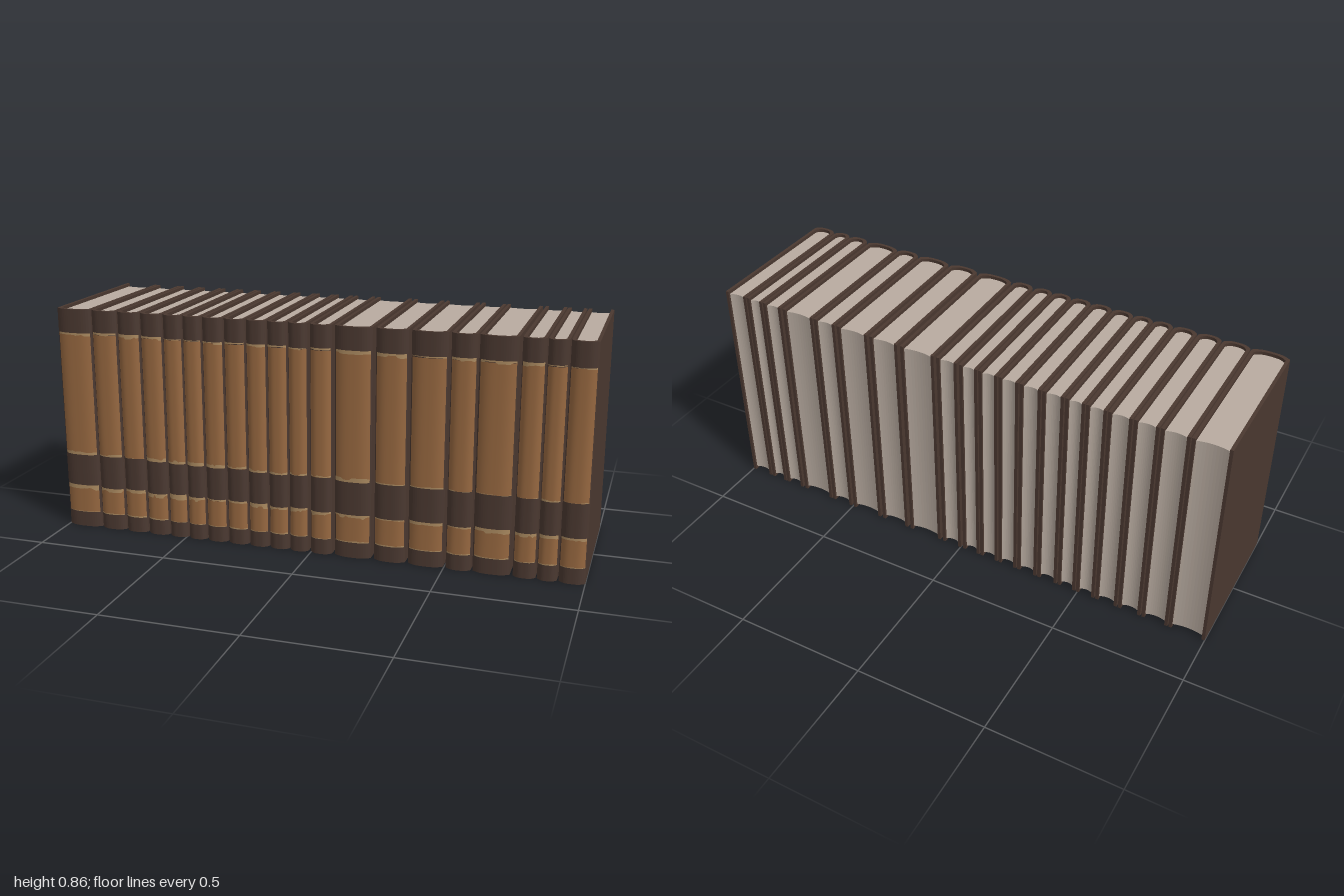
import * as THREE from 'three';

const H = 0.86, BACK = -0.295, FRONT = 0.295, BOW = 0.018, T = 0.012, LIP = 0.012;

// Left and right side of each book along the row
const BOOKS = [
  [-1, -0.862], [-0.858, -0.757], [-0.752, -0.664], [-0.659, -0.573], [-0.568, -0.494],
  [-0.49, -0.418], [-0.413, -0.333], [-0.328, -0.248], [-0.243, -0.167], [-0.162, -0.088],
  [-0.083, -0.012], [-0.002, 0.079], [0.09, 0.227], [0.24, 0.356], [0.367, 0.496],
  [0.506, 0.597], [0.603, 0.736], [0.747, 0.827], [0.832, 0.902], [0.907, 1],
];

const mat = (name, color, side = THREE.FrontSide) => {
  const m = new THREE.MeshStandardMaterial({ color, side });
  m.name = name;
  return m;
};

// Depth of the bowed spine at t = -1 .. 1 across the book
const spineZ = (t) => FRONT - BOW * Math.abs(t) ** 3;

// Extrudes an outline drawn in x and z upwards from y0 to y1
function prism(points, y0, y1) {
  const g = new THREE.ExtrudeGeometry(new THREE.Shape(points.map(([x, z]) => new THREE.Vector2(x, z))),
    { depth: y1 - y0, bevelEnabled: false });
  return g.rotateX(Math.PI / 2).translate(0, y1, 0);
}

// Points over t = -1 .. 1
const sweep = (n, fn) => Array.from({ length: n + 1 }, (_, i) => fn(-1 + (2 * i) / n));

// Thin curved plate lying on the spine; low(i) and high(i) give its edges by column
function spinePlate(half, lift, low, high) {
  const n = 12;
  const g = new THREE.PlaneGeometry(2, 1, n, 1);
  const p = g.attributes.position;
  for (let i = 0; i < p.count; i++) {
    const t = p.getX(i) * 0.93;
    const col = i % (n + 1);
    p.setXYZ(i, t * half, p.getY(i) > 0 ? high(col) : low(col), spineZ(t) + lift);
  }
  g.computeVertexNormals();
  return g;
}

export function createModel() {
  const cover = mat('dark leather', 0x4a3830);
  const leather = mat('tan leather', 0x976840, THREE.DoubleSide);
  const worn = mat('worn edge', 0xab8a60, THREE.DoubleSide);
  const paper = mat('paper', 0xb8aba0);

  let seed = 7;
  const rand = () => (seed = (seed * 16807) % 2147483647) / 2147483647;

  const root = new THREE.Group();
  root.name = 'bookRow';

  BOOKS.forEach(([x0, x1], k) => {
    const book = new THREE.Group();
    book.name = `book${k + 1}`;
    book.position.x = (x0 + x1) / 2;
    const half = (x1 - x0) / 2, inner = half - T;
    const add = (name, geometry, material) => {
      const m = new THREE.Mesh(geometry, material);
      m.name = name;
      book.add(m);
    };

    // Two boards joined by the bowed spine
    add('cover', prism([
      [-half, BACK],
      ...sweep(16, (t) => [t * half, spineZ(t)]),
      [half, BACK], [inner, BACK],
      ...sweep(16, (t) => [-t * inner, spineZ(t) - T]),
      [-inner, BACK],
    ], 0, H), cover);

    // Page block with a hollow fore edge
    add('pages', prism([
      ...sweep(10, (t) => [t * inner, BACK + 0.016 - 0.008 * t * t]),
      ...sweep(10, (t) => [-t * inner, spineZ(t) - T]),
    ], LIP, H - LIP), paper);

    // Tan panels on the spine
    add('lowerPanel', spinePlate(half, 0.001, () => 0.06, () => 0.163), leather);
    add('upperPanel', spinePlate(half, 0.001, () => 0.297, () => 0.768), leather);

    // Ragged worn edges of the panels: height and greatest width, up or down
    [[0.06, 0.008], [0.168, -0.022], [0.295, 0.014], [0.774, -0.018]].forEach(([y, size], j) => {
      const amount = 0.35 + 0.65 * rand();
      let step = rand();
      const ragged = Array.from({ length: 13 }, () => {
        if (rand() < 0.4) step = rand();
        return y + size * amount * (0.3 + 0.7 * step);
      });
      const shift = (rand() - 0.5) * 0.008;
      const outer = () => y + (j ? shift : 0);
      const edge = (i) => ragged[i];
      add('wornEdge', size > 0
        ? spinePlate(half, 0.002, outer, edge)
        : spinePlate(half, 0.002, edge, outer), worn);
    });

    root.add(book);
  });
  return root;
}
